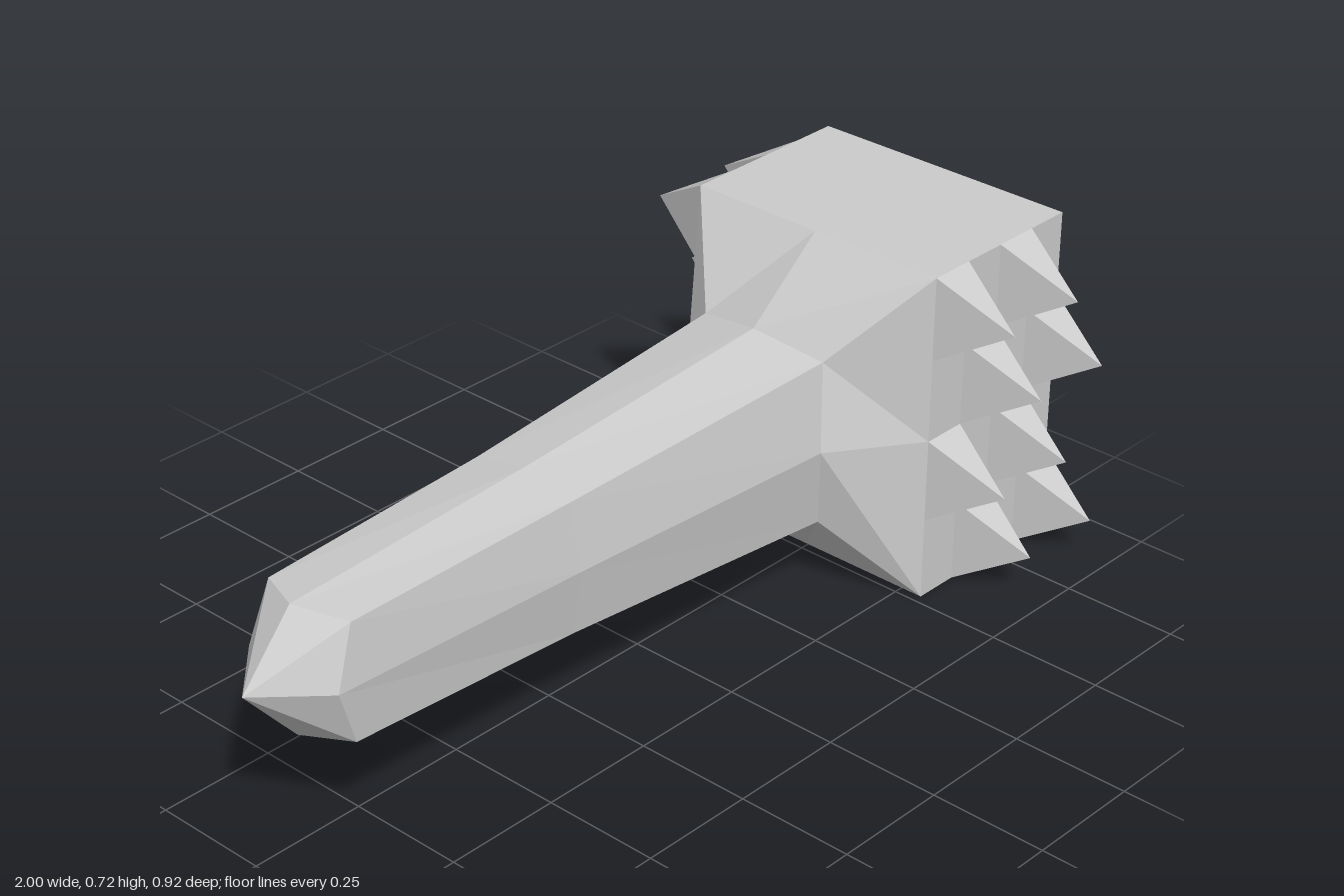
import * as THREE from 'three';

const CY = 0.36, CZ = -0.006; // axis of the hammer
const material = new THREE.MeshStandardMaterial({ color: 0xcccccc, flatShading: true });

function addMesh(parent, name, geometry) {
  const mesh = new THREE.Mesh(geometry, material);
  mesh.name = name;
  parent.add(mesh);
  return mesh;
}

// Skin a list of rings (arrays of Vector3, running from +z towards +y) along +x
function loft(rings) {
  const pos = [];
  const tri = (a, b, c) => {
    if (new THREE.Triangle(a, b, c).getArea() < 1e-8) return;
    for (const p of [a, b, c]) pos.push(p.x, p.y, p.z);
  };
  for (let i = 0; i < rings.length - 1; i++) {
    const r = rings[i], s = rings[i + 1], n = r.length;
    for (let k = 0; k < n; k++) {
      const m = (k + 1) % n;
      tri(r[k], s[k], r[m]);
      tri(s[k], s[m], r[m]);
    }
  }
  const g = new THREE.BufferGeometry();
  g.setAttribute('position', new THREE.Float32BufferAttribute(pos, 3));
  g.computeVertexNormals();
  return g;
}

// Eight-sided ring: side midpoints at xm, corners at xc
function octagon(xm, my, mz, xc, cy, cz) {
  const pts = [];
  for (let k = 0; k < 8; k++) {
    const dz = [1, 1, 0, -1, -1, -1, 0, 1][k], dy = [0, 1, 1, 1, 0, -1, -1, -1][k];
    const corner = k % 2 === 1;
    pts.push(new THREE.Vector3(corner ? xc : xm, CY + dy * (corner ? cy : my), CZ + dz * (corner ? cz : mz)));
  }
  return pts;
}

function rectangle(x, hy, hz) {
  return [[1, -1], [1, 1], [-1, 1], [-1, -1]].map(([z, y]) => new THREE.Vector3(x, CY + y * hy, CZ + z * hz));
}

export function createModel() {
  const model = new THREE.Group();
  model.name = 'spikedHammer';

  // Tapered handle with pointed pommel, flaring out to the head
  addMesh(model, 'handle', loft([
    octagon(-1, 0, 0, -1, 0, 0),
    octagon(-0.88, 0.138, 0.118, -0.835, 0.126, 0.107),
    octagon(-0.3, 0.167, 0.143, -0.3, 0.143, 0.122),
    octagon(0.34, 0.212, 0.18, 0.37, 0.18, 0.153),
    octagon(0.52, 0.36, 0.305, 0.52, 0.36, 0.305),
  ]));

  // Block head
  addMesh(model, 'head', new THREE.BoxGeometry(0.4, 0.72, 0.61)).position.set(0.72, CY, CZ);

  // Blunt pyramid on the end of the head
  addMesh(model, 'endPoint', loft([
    rectangle(0.92, 0.18, 0.153),
    rectangle(0.965, 0.12, 0.102),
    rectangle(1, 0, 0),
  ]));

  // Checkerboard of spikes on the front and back faces
  const height = 0.157;
  for (const side of [1, -1]) {
    const spikes = new THREE.Group();
    spikes.name = side > 0 ? 'frontSpikes' : 'backSpikes';
    const geometry = new THREE.ConeGeometry(Math.SQRT1_2, 1, 4, 1, true)
      .rotateY(Math.PI / 4).rotateX(side * Math.PI / 2).scale(0.1, 0.18, height);
    for (let row = 0; row < 4; row++) {
      for (let col = row % 2; col < 4; col += 2) {
        addMesh(spikes, 'spike', geometry)
          .position.set(0.57 + col * 0.1, 0.63 - row * 0.18, CZ + side * (0.305 + height / 2));
      }
    }
    model.add(spikes);
  }
  return model;
}
